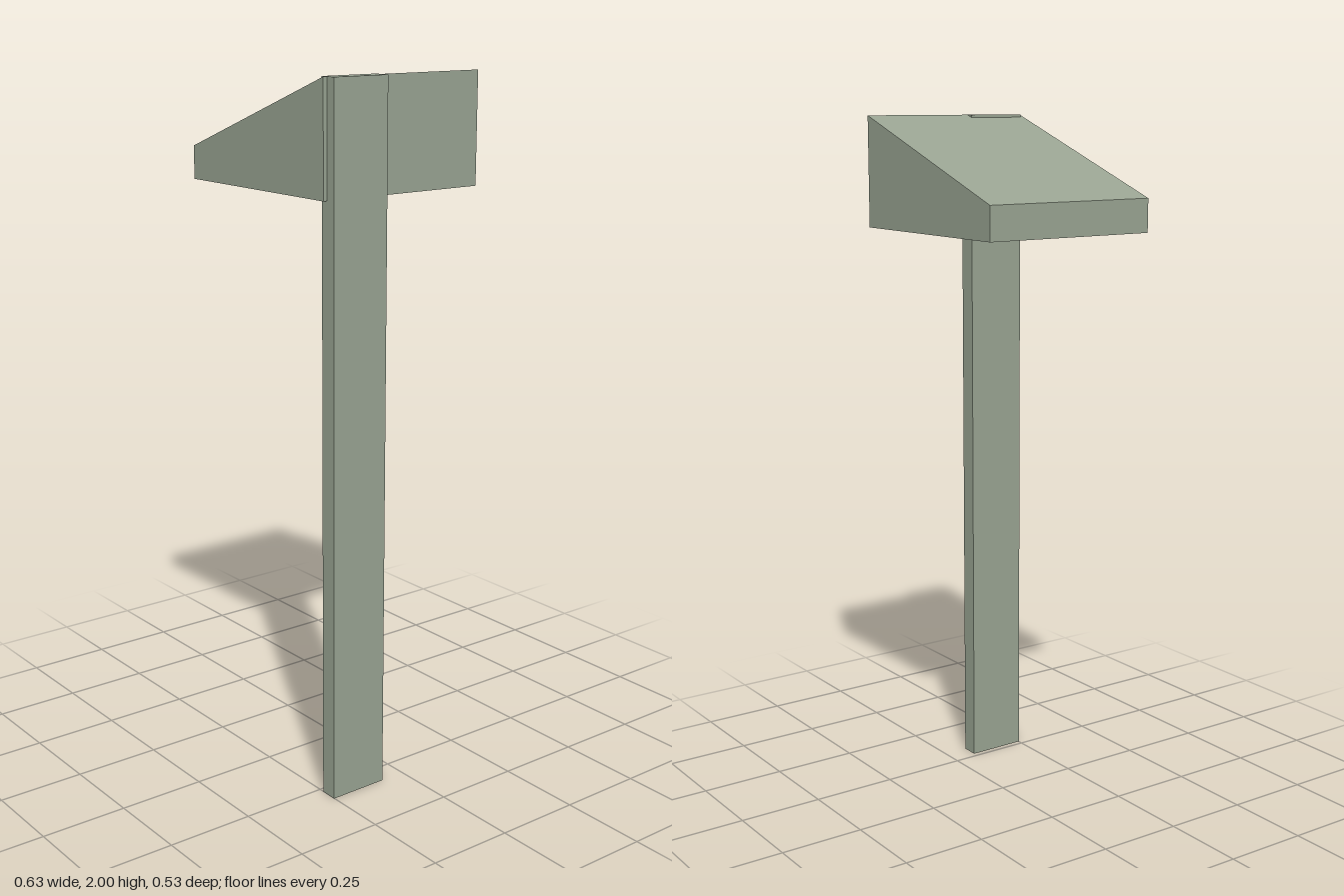
import * as THREE from 'three';

export function createModel() {
  const model = new THREE.Group();
  const sageGrey = new THREE.MeshStandardMaterial({ color: 0x98a391 });
  sageGrey.name = 'sageGrey';

  // Upright flat post, set into the side of the head
  const post = new THREE.Mesh(new THREE.BoxGeometry(0.051, 2, 0.176), sageGrey);
  post.name = 'post';
  post.position.set(0.2915, 1, 0.163);
  model.add(post);

  // Wedge head: side profile extruded along z
  const profile = new THREE.Shape([
    new THREE.Vector2(-0.317, 1.687),
    new THREE.Vector2(0.288, 1.687),
    new THREE.Vector2(0.288, 2),
    new THREE.Vector2(-0.317, 1.781),
  ]);
  const depth = 0.526;
  const head = new THREE.Mesh(
    new THREE.ExtrudeGeometry(profile, { depth, bevelEnabled: false }),
    sageGrey,
  );
  head.name = 'wedgeHead';
  head.position.z = -depth / 2;
  model.add(head);

  return model;
}
